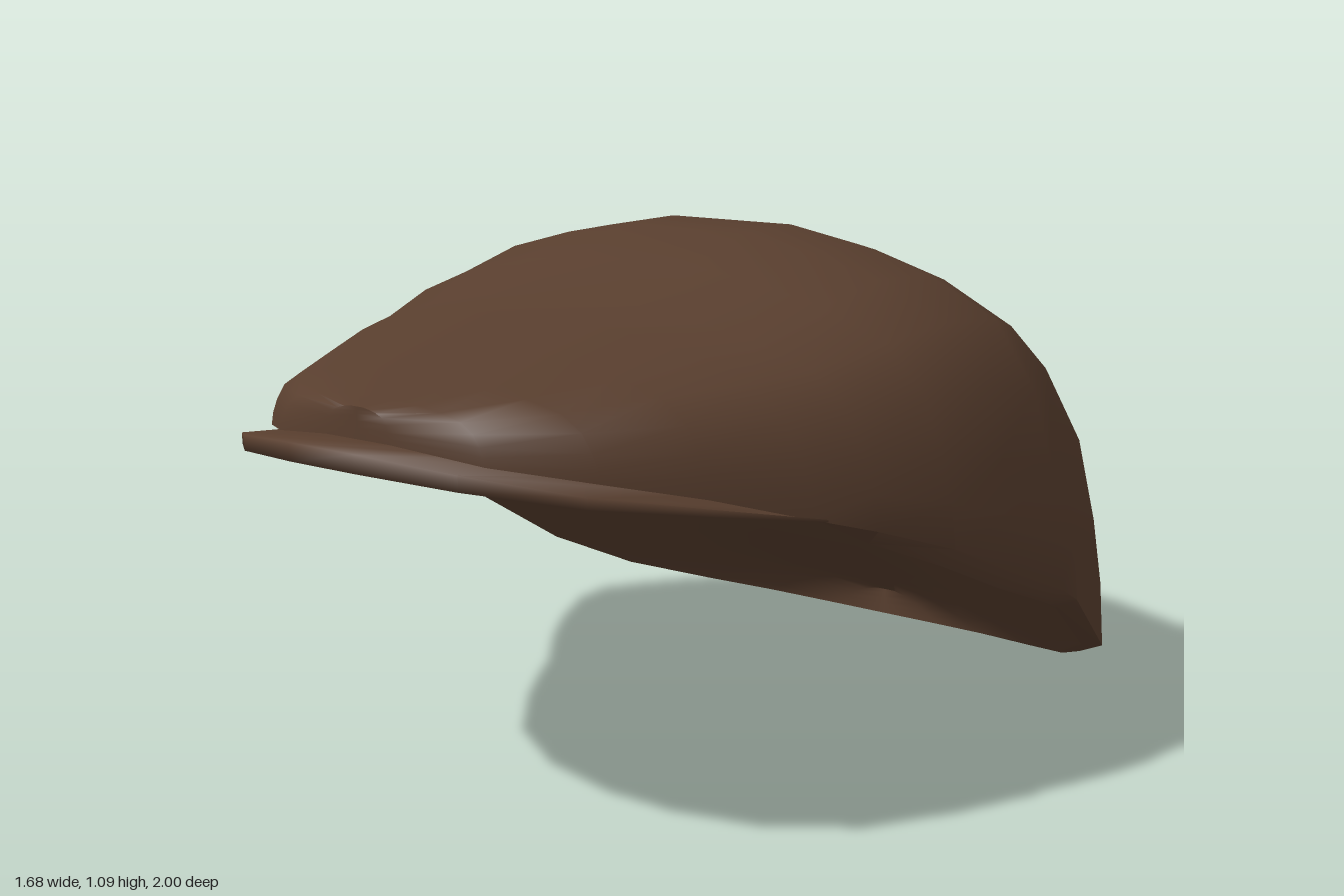
import * as THREE from 'three';
import { toCreasedNormals } from 'three/addons/utils/BufferGeometryUtils.js';

// Skin a list of point rows; each row is a closed loop of [x, y, z]
function loft(rows, crease) {
  const n = rows[0].length, index = [];
  for (let i = 0; i < rows.length - 1; i++) {
    for (let j = 0; j < n; j++) {
      const a = i * n + j, b = i * n + (j + 1) % n;
      index.push(a, b, a + n, b, b + n, a + n);
    }
  }
  const g = new THREE.BufferGeometry();
  g.setAttribute('position', new THREE.Float32BufferAttribute(rows.flat(2), 3));
  g.setIndex(index);
  return toCreasedNormals(g, crease);
}

// Crown stations, back to front: [z, half width, rim height, top height, lip drop]
const STATIONS = [
  [-1, 0, 0.05, 0.45, 0.05],
  [-1, 0.16, 0.05, 0.45, 0.05],
  [-0.94, 0.33, 0.02, 0.6, 0],
  [-0.87, 0.5, 0.04, 0.74, 0],
  [-0.72, 0.66, 0.09, 0.865, 0],
  [-0.55, 0.79, 0.175, 0.955, 0],
  [-0.3, 0.84, 0.35, 1.07, 0.02],
  [-0.24, 0.835, 0.385, 1.085, 0.03],
  [-0.07, 0.81, 0.46, 1.08, 0.04],
  [0.1, 0.77, 0.535, 1.03, 0.04],
  [0.27, 0.7, 0.595, 0.968, 0.03],
  [0.4, 0.64, 0.635, 0.945, 0],
  [0.57, 0.53, 0.69, 0.913, 0],
  [0.74, 0.42, 0.735, 0.883, 0],
  [0.86, 0.26, 0.765, 0.86, 0],
  [0.91, 0.08, 0.79, 0.85, 0],
  [0.91, 0, 0.79, 0.85, 0],
];

// Half of the arched cross-section, from rim to crest, as fractions of width and height
const ARCH = [
  [1, 0], [0.985, 0.18], [0.955, 0.36], [0.9, 0.58], [0.79, 0.77],
  [0.6, 0.885], [0.4, 0.955], [0.19, 1],
];
// The lining is a gentle bowl
const BOWL = ARCH.map(([u]) => [u, 1 - u * u]);

function section(profile, z, w, base, height) {
  const half = profile.map(([u, v]) => [u * w, base + v * height, z]);
  return [...half, ...half.map(([x, y]) => [-x, y, z]).reverse()];
}

// Outer shell, turned-in lip and shallow lining joined in one loop per station
function crownGeometry() {
  return loft(STATIONS.map(([z, w, rim, top, lip]) => {
    const depth = Math.max(0.03, 0.17 * (1 - ((z + 0.3) / 0.9) ** 2));
    const lining = section(BOWL, z * 0.95, w * 0.96, rim - lip, depth).reverse();
    return [...section(ARCH, z, w, rim, top - rim), ...lining];
  }), 1.0);
}

// Crescent brim: outer edge [x, y, z] on the left half, mirrored to the right
function brimGeometry() {
  const half = [
    [0.66, 0.63, 0.38], [0.56, 0.67, 0.6], [0.44, 0.705, 0.8],
    [0.27, 0.738, 0.94], [0.08, 0.755, 1],
  ];
  const edge = [...half, ...half.map(([x, y, z]) => [-x, y, z]).reverse()];
  return loft(edge.map(([x, y, z]) => {
    const bow = 1 - (x / 0.66) ** 2;
    const inner = [x, 0.63 + 0.06 * bow, 0.379 + 0.14 * bow];
    return [[x, y + 0.005 + 0.03 * bow, z], inner, [x, y, z]];
  }), 2.0);
}

export function createModel() {
  const cloth = new THREE.MeshStandardMaterial({ color: 0x583e2e });
  cloth.name = 'brown cloth';
  const group = new THREE.Group();
  group.name = 'flatCap';
  for (const [name, geometry] of [['crown', crownGeometry()], ['brim', brimGeometry()]]) {
    const mesh = new THREE.Mesh(geometry, cloth);
    mesh.name = name;
    group.add(mesh);
  }
  return group;
}
